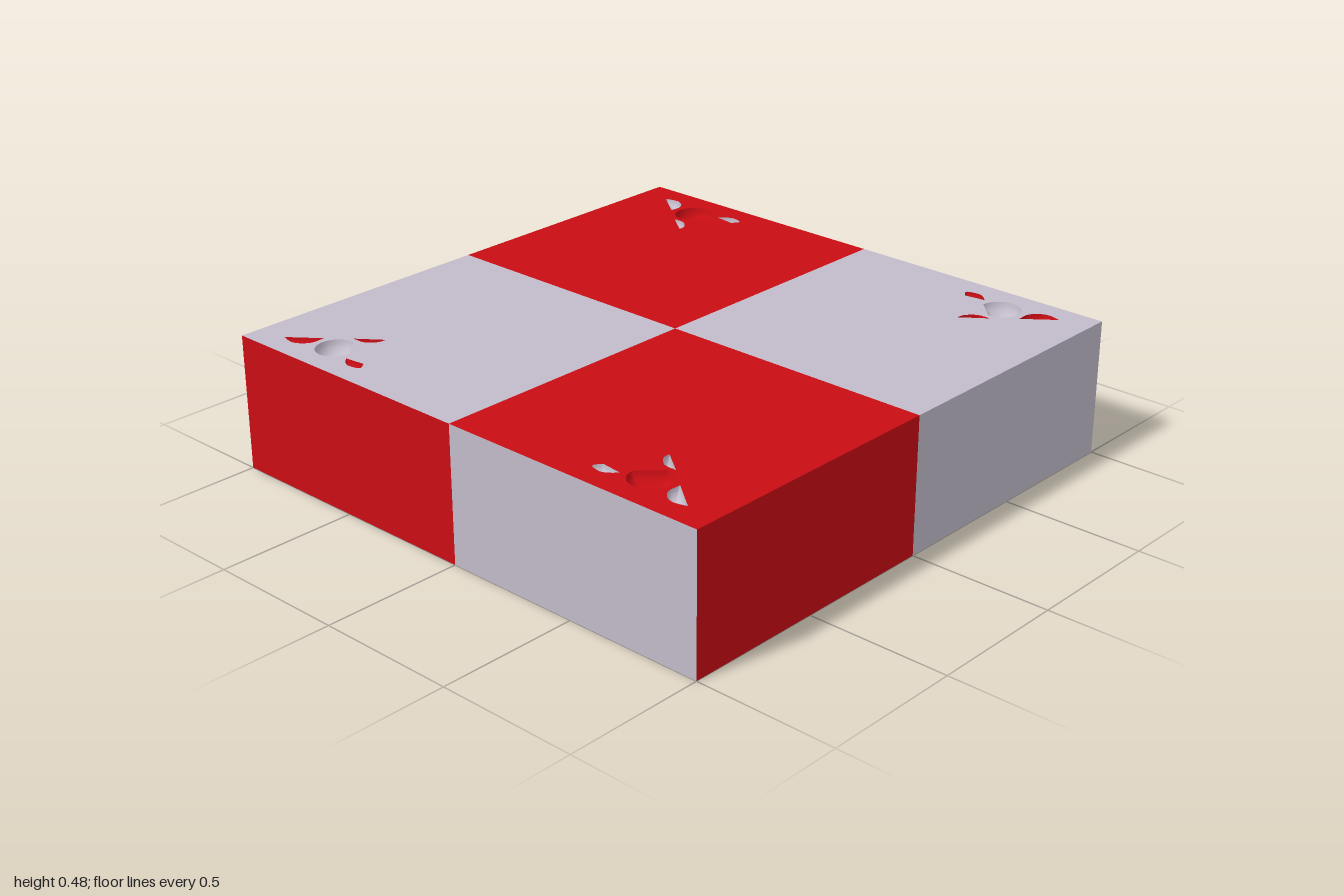
import * as THREE from 'three';

const H = 0.48;
const red = new THREE.MeshStandardMaterial({ color: 0xc80d14 });
const pale = new THREE.MeshStandardMaterial({ color: 0xc2bbca });
const grey = new THREE.MeshStandardMaterial({ color: 0xcccccc });

// Curved outline through a few [x, z] points, closed by a straight chord
const curved = (pts) => new THREE.SplineCurve(pts.map(([x, z]) => new THREE.Vector2(x, z))).getPoints(14);

// Outlines of the corner hollows in the +x +z quadrant
const bowl = Array.from({ length: 25 }, (_, i) => {
  const a = -Math.PI / 2 + (i / 24) * Math.PI * 1.5;
  return new THREE.Vector2(0.693 + 0.07 * Math.cos(a), 0.858 + 0.07 * Math.sin(a));
});
const petals = [
  curved([[0.786, 0.834], [0.785, 0.88], [0.808, 0.912], [0.842, 0.925], [0.888, 0.914]]),
  curved([[0.53, 0.882], [0.513, 0.912], [0.556, 0.924], [0.585, 0.91], [0.604, 0.891]]),
  curved([[0.626, 0.706], [0.632, 0.738], [0.665, 0.768], [0.711, 0.77]]),
];

// Mirror an outline into a quadrant, as (x, -z), always counter-clockwise
function place(outline, sx, sz) {
  const pts = outline.map((p) => new THREE.Vector2(p.x * sx, -p.y * sz));
  return THREE.ShapeUtils.isClockWise(pts) ? pts.reverse() : pts;
}

// Rounded hollow: rings of the outline shrinking towards its centre as they sink
function hollowGeometry(pts, depth) {
  const rings = 6, n = pts.length, pos = [], idx = [];
  const c = pts.reduce((s, p) => s.add(p), new THREE.Vector2()).divideScalar(n);
  for (let r = 0; r <= rings; r++) {
    const t = (r / rings) * Math.PI / 2, k = Math.cos(t);
    for (const p of pts) {
      pos.push(c.x + (p.x - c.x) * k, H - depth * Math.sin(t), -(c.y + (p.y - c.y) * k));
    }
  }
  for (let r = 0; r < rings; r++) {
    for (let i = 0; i < n; i++) {
      const a = r * n + i, b = r * n + (i + 1) % n;
      idx.push(a, b, a + n, b, b + n, a + n);
    }
  }
  const g = new THREE.BufferGeometry();
  g.setAttribute('position', new THREE.Float32BufferAttribute(pos, 3));
  g.setIndex(idx);
  g.computeVertexNormals();
  return g;
}

export function createModel() {
  const model = new THREE.Group();
  const add = (parent, name, geometry, material) => {
    const mesh = new THREE.Mesh(geometry, material);
    mesh.name = name;
    parent.add(mesh);
    return mesh;
  };

  // Chequered top, one quadrant at a time, with its corner hollows
  for (const sx of [-1, 1]) {
    for (const sz of [-1, 1]) {
      const quadrant = new THREE.Group();
      quadrant.name = `${sz > 0 ? 'front' : 'back'}${sx > 0 ? 'Left' : 'Right'}Quadrant`;
      model.add(quadrant);
      const [own, other] = sx === sz ? [red, pale] : [pale, red];
      const square = [[0, 0], [1, 0], [1, 1], [0, 1]].map(([x, z]) => new THREE.Vector2(x, z));
      const shape = new THREE.Shape(place(square, sx, sz));
      const cut = (outline, name, depth, material) => {
        const pts = place(outline, sx, sz);
        shape.holes.push(new THREE.Path(pts));
        add(quadrant, name, hollowGeometry(pts, depth), material);
      };
      cut(bowl, 'roundHollow', 0.05, own);
      petals.forEach((p) => cut(p, 'petalHollow', 0.03, other));
      add(quadrant, 'topPanel', new THREE.ShapeGeometry(shape).rotateX(-Math.PI / 2).translate(0, H, 0), own);
    }
  }

  // Sides: front, left, back, right, each split into two colours
  for (let i = 0; i < 4; i++) {
    const side = new THREE.Group();
    side.name = ['front', 'left', 'back', 'right'][i] + 'Side';
    side.rotation.y = i * Math.PI / 2;
    for (const s of [-1, 1]) {
      add(side, 'sidePanel', new THREE.PlaneGeometry(1, H).translate(s / 2, H / 2, 1), s < 0 ? red : pale);
    }
    // Opposite sides match; the back and front start with red, as do the other two
    model.add(side);
  }

  // Plain underside
  add(model, 'underside', new THREE.PlaneGeometry(2, 2).rotateX(Math.PI / 2), grey);
  return model;
}
